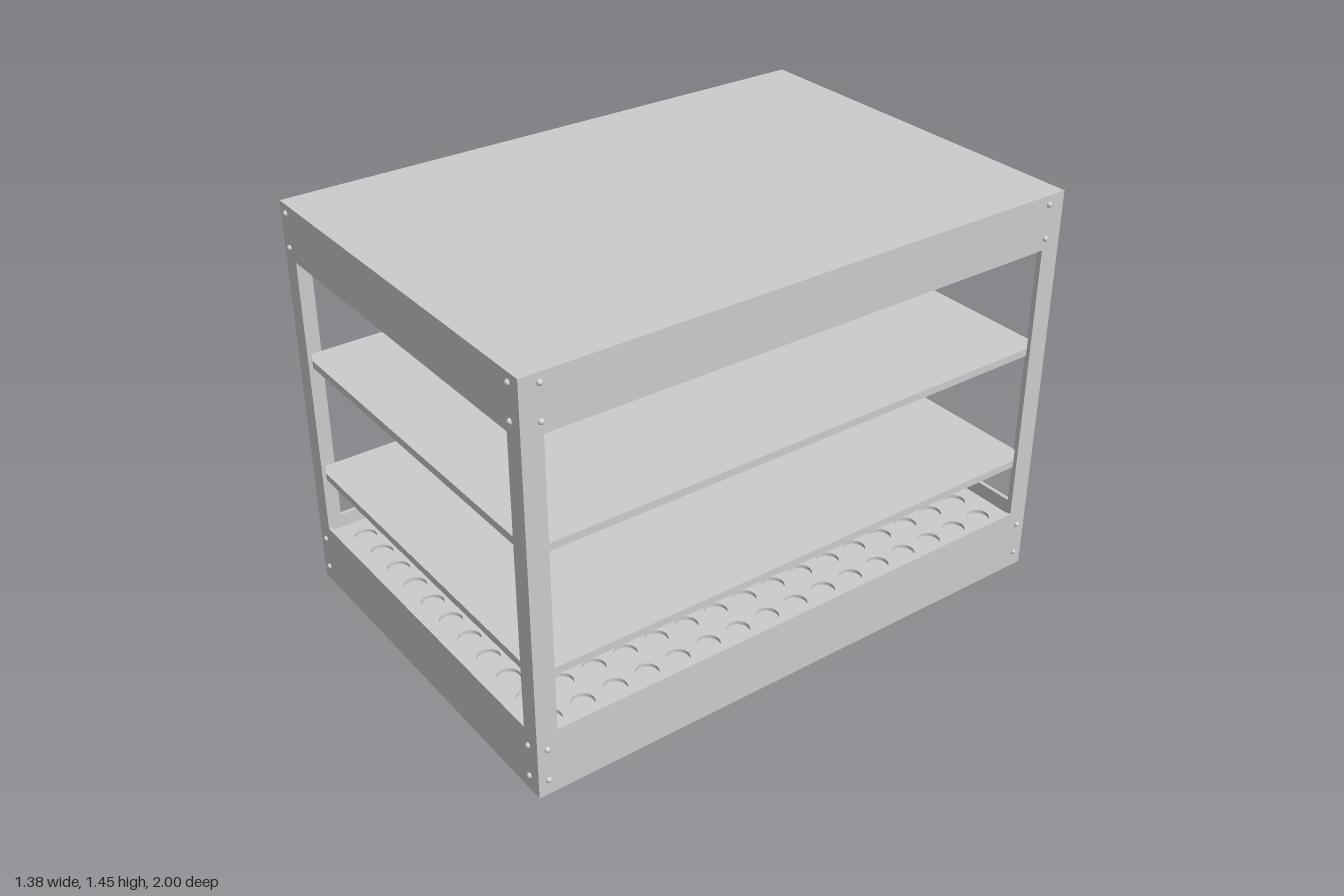
import * as THREE from 'three';
import { RoundedBoxGeometry } from 'three/addons/geometries/RoundedBoxGeometry.js';

const W = 1.365, D = 1.97, CX = -0.003;   // cabinet width, depth and x centre
const Y0 = 0.05, Y1 = 1.45;               // cabinet bottom and top
const T = 0.014;                          // sheet thickness

export function createModel() {
  const model = new THREE.Group();
  const mat = new THREE.MeshStandardMaterial({ color: 0xcccccc });

  const add = (name, geo, x = 0, y = 0, z = 0) => {
    const mesh = new THREE.Mesh(geo, mat);
    mesh.name = name;
    mesh.position.set(x, y, z);
    model.add(mesh);
    return mesh;
  };
  const slab = (name, w, h, d, y) =>
    add(name, new THREE.BoxGeometry(w, h, d), CX, y, 0);

  const rect = (PathType, x0, y0, x1, y1) => {
    const p = new PathType();
    p.moveTo(x0, y0);
    p.lineTo(x1, y0);
    p.lineTo(x1, y1);
    p.lineTo(x0, y1);
    p.closePath();
    return p;
  };

  // Sheet-metal wall with one large window, its outer face at local z = 0
  const wall = (width) => {
    const shape = rect(THREE.Shape, -width / 2, Y0, width / 2, Y1);
    const inner = width / 2 - 0.067;
    shape.holes.push(rect(THREE.Path, -inner, 0.275, inner, 1.265));
    return new THREE.ExtrudeGeometry(shape, { depth: T, bevelEnabled: false }).translate(0, 0, -T);
  };
  const endWall = wall(W), sideWall = wall(D);
  add('frontFrame', endWall, CX, 0, D / 2 + 0.004);
  add('backFrame', endWall, CX, 0, -D / 2 - 0.004).rotation.y = Math.PI;
  add('leftFrame', sideWall, CX + W / 2, 0, 0).rotation.y = Math.PI / 2;
  add('rightFrame', sideWall, CX - W / 2, 0, 0).rotation.y = -Math.PI / 2;

  // Roof, ceiling and floor
  add('roof', new RoundedBoxGeometry(W, 0.024, D + 0.006, 2, 0.006), CX, Y1 - 0.012, 0);
  slab('ceiling', W - 2 * T, 0.012, D - 2 * T, 1.286);
  slab('floor', W - 0.004, 0.016, D - 0.004, Y0 + 0.008);

  // Two shelves
  for (const y of [0.472, 0.898]) slab('shelf', W - 2 * T, 0.026, D - 2 * T, y);

  // Perforated tray over a solid pan
  const tw = W - 2 * T, td = D - 2 * T, nx = 11, nz = 16;
  const trayShape = rect(THREE.Shape, -tw / 2, -td / 2, tw / 2, td / 2);
  for (let i = 0; i < nx; i++) {
    for (let j = 0; j < nz; j++) {
      const hole = new THREE.Path();
      hole.absarc((i - (nx - 1) / 2) * 0.115, (j - (nz - 1) / 2) * 0.117, 0.038, 0, Math.PI * 2, true);
      trayShape.holes.push(hole);
    }
  }
  const trayGeo = new THREE.ExtrudeGeometry(trayShape, { depth: 0.012, bevelEnabled: false, curveSegments: 16 });
  trayGeo.rotateX(-Math.PI / 2);
  add('perforatedTray', trayGeo, CX, 0.213, 0);
  slab('trayPan', tw, 0.01, td, 0.195);

  // Hanging bulb
  add('bulb', new THREE.SphereGeometry(0.093, 24, 16), -0.027, 1.208, 0);
  add('bulbSocket', new THREE.CylinderGeometry(0.045, 0.045, 0.03, 24), -0.027, 1.283, 0);

  // Tapered feet
  const footGeo = new THREE.CylinderGeometry(0.047, 0.037, 0.052, 24);
  for (const x of [-0.607, 0.59])
    for (const z of [-0.9, 0.91]) add('foot', footGeo, x, 0.026, z);

  // Domed rivets at the corners of all four walls
  const rivetGeo = new THREE.SphereGeometry(0.01, 12, 6, 0, Math.PI * 2, 0, Math.PI / 2);
  rivetGeo.rotateX(Math.PI / 2);
  for (const y of [0.105, 0.22, 1.305, 1.42]) {
    const zSide = y > 1 ? 0.925 : 0.955;
    for (const s of [-1, 1]) {
      for (const x of [-0.648, 0.632]) {
        add('endRivet', rivetGeo, x, y, s * (D / 2 + 0.004)).rotation.y = s > 0 ? 0 : Math.PI;
      }
      for (const z of [-zSide, zSide]) {
        add('sideRivet', rivetGeo, CX + s * W / 2, y, z).rotation.y = s * Math.PI / 2;
      }
    }
  }
  return model;
}
